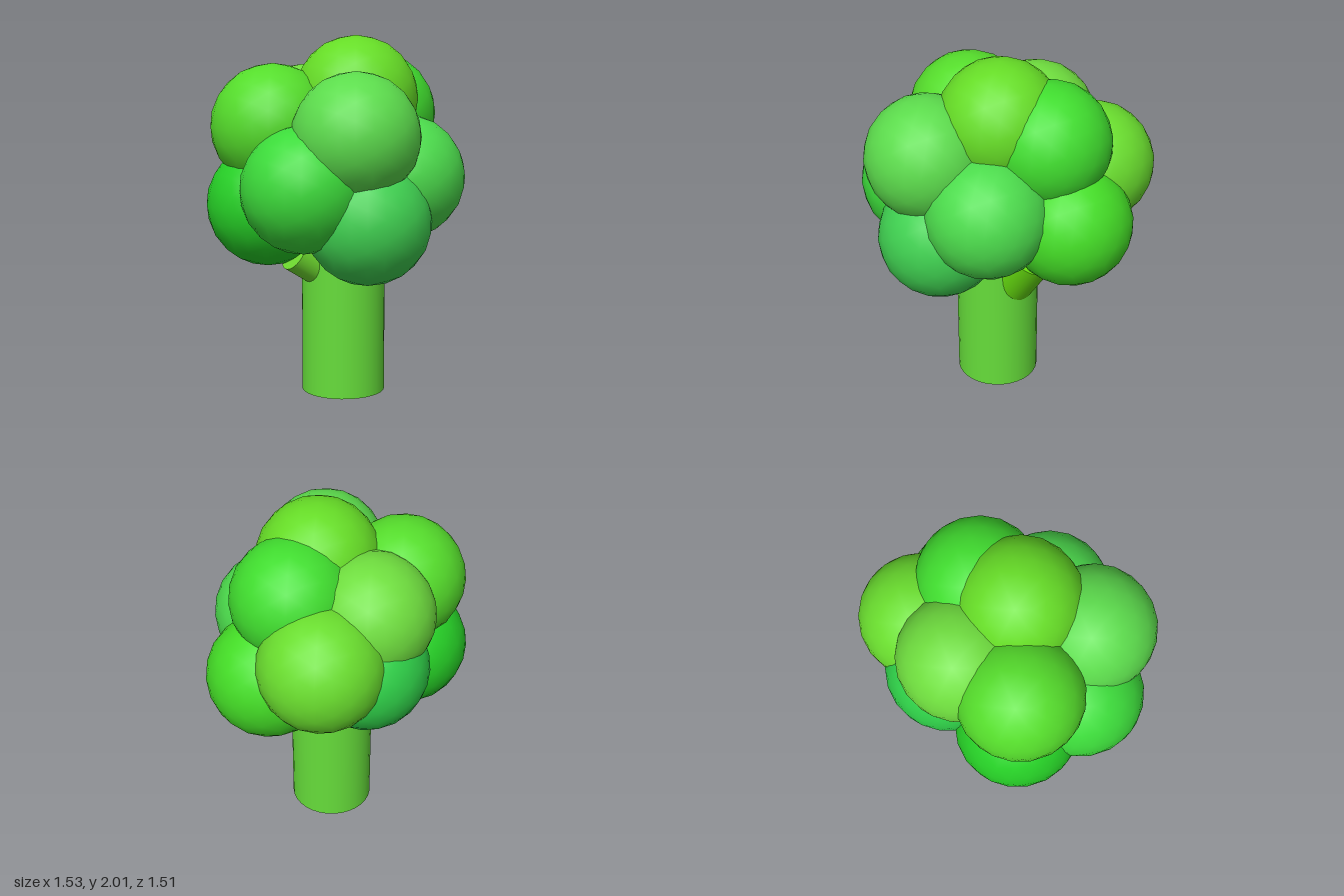
import * as THREE from 'three';

const material = (color) => new THREE.MeshStandardMaterial({ color });

// Capped round stalk running between two points
function stalk(name, from, to, radius, color) {
  const a = new THREE.Vector3(...from);
  const b = new THREE.Vector3(...to);
  const dir = b.clone().sub(a);
  const mesh = new THREE.Mesh(
    new THREE.CylinderGeometry(radius, radius, dir.length(), 32),
    material(color)
  );
  mesh.name = name;
  mesh.position.copy(a).add(b).multiplyScalar(0.5);
  mesh.quaternion.setFromUnitVectors(new THREE.Vector3(0, 1, 0), dir.normalize());
  return mesh;
}

// Floret centres and colours
const FLORETS = [
  ['topFloret', 0.04, 1.66, 0.07, 0x66dd26],
  ['frontUpperFloret', -0.165, 1.48, 0.41, 0x5cdc4c],
  ['rightUpperFloret', -0.4, 1.51, -0.08, 0x55dd2b],
  ['leftUpperFloret', 0.26, 1.56, -0.08, 0x40dd2e],
  ['rightFrontFloret', -0.4, 1.2, 0.27, 0x3cdb3a],
  ['leftFrontFloret', 0.2, 1.235, 0.3, 0x4cdc4c],
  ['frontLowerFloret', -0.085, 1.02, 0.4, 0x3fd050],
  ['leftSideFloret', 0.42, 1.13, -0.1, 0x44dd26],
  ['leftBackFloret', 0.26, 1.33, -0.415, 0x6ade2e],
  ['backUpperFloret', -0.09, 1.49, -0.305, 0x6fde3e],
  ['backLowerFloret', -0.03, 1.21, -0.365, 0x2fd048],
  ['rightBackFloret', -0.42, 1.08, -0.1, 0x26d026],
];

export function createModel() {
  const model = new THREE.Group();
  model.name = 'broccoli';

  // Main stem and the two side branches
  model.add(stalk('stem', [-0.024, 0, 0.04], [-0.024, 1.25, 0.04], 0.234, 0x66dd3a));
  model.add(stalk('leftBranch', [0.0, 0.51, 0.035], [0.28, 0.92, 0.035], 0.135, 0x66dd0f));
  model.add(stalk('rightBranch', [-0.06, 0.64, 0.04], [-0.34, 0.815, 0.04], 0.1, 0x70dd30));

  // Crown of smooth, faceted-outline balls
  const crown = new THREE.Group();
  crown.name = 'crown';
  const ball = new THREE.IcosahedronGeometry(0.345, 3);
  for (const [name, x, y, z, color] of FLORETS) {
    const floret = new THREE.Mesh(ball, material(color));
    floret.name = name;
    floret.position.set(x, y, z);
    crown.add(floret);
  }
  model.add(crown);
  return model;
}
